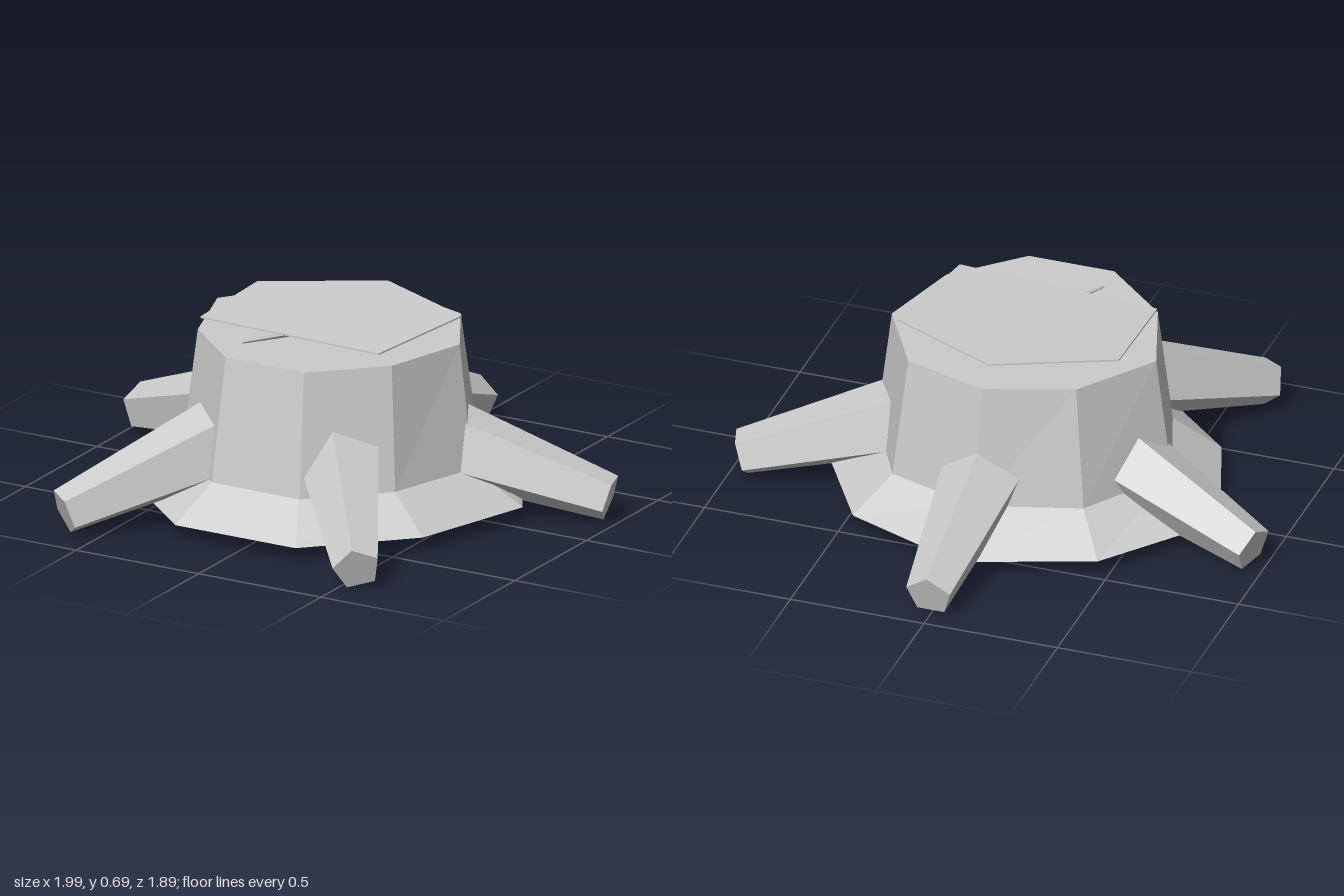
import * as THREE from 'three';

const bark = new THREE.MeshStandardMaterial({ color: 0xcccccc, flatShading: true });
bark.name = 'pale grey';

function addMesh(parent, name, geometry) {
  const mesh = new THREE.Mesh(geometry, bark);
  mesh.name = name;
  parent.add(mesh);
  return mesh;
}

// Nine-sided body lofted through [height, [x, z] outline] rings, capped at both ends
function loft(rings) {
  const n = rings[0][1].length;
  const pos = [], index = [];
  for (const [y, pts] of rings) for (const [x, z] of pts) pos.push(x, y, z);
  for (let r = 0; r < rings.length - 1; r++) {
    for (let i = 0; i < n; i++) {
      const a = r * n + i, b = r * n + (i + 1) % n;
      index.push(a, b, b + n, a, b + n, a + n);
    }
  }
  const top = (rings.length - 1) * n;
  for (let i = 1; i < n - 1; i++) {
    index.push(0, i + 1, i);
    index.push(top, top + i, top + i + 1);
  }
  const g = new THREE.BufferGeometry();
  g.setAttribute('position', new THREE.Float32BufferAttribute(pos, 3));
  g.setIndex(index);
  const flat = g.toNonIndexed();
  flat.computeVertexNormals();
  return flat;
}

// Tapered five-sided root running from inside the trunk out to its tip
function addRoot(parent, name, start, tip, roll) {
  const a = new THREE.Vector3(...start), b = new THREE.Vector3(...tip);
  const dir = b.clone().sub(a);
  const length = dir.length();
  dir.normalize();
  const up = new THREE.Vector3(0, 1, 0).addScaledVector(dir, -dir.y).normalize();
  const side = dir.clone().cross(up);
  const g = new THREE.CylinderGeometry(0.086, 0.168, length, 5);
  g.rotateY(THREE.MathUtils.degToRad(roll));
  g.applyMatrix4(new THREE.Matrix4().makeBasis(side, dir, up));
  addMesh(parent, name, g).position.copy(a).add(b).multiplyScalar(0.5);
}

// Thin sliver lying on the cut, pointed at its outer end
function addCrack(parent, name, [x0, z0], [x1, z1]) {
  const length = Math.hypot(x1 - x0, z1 - z0);
  const g = new THREE.CylinderGeometry(0.005, 0.014, length, 4);
  g.scale(1, 1, 0.6);
  g.rotateZ(-Math.PI / 2);
  const crack = addMesh(parent, name, g);
  crack.position.set((x0 + x1) / 2, 0.655, (z0 + z1) / 2);
  crack.rotation.y = -Math.atan2(z1 - z0, x1 - x0);
}

export function createModel() {
  const model = new THREE.Group();
  model.name = 'treeStump';

  // Trunk: flared foot, waist and cut top
  addMesh(model, 'trunk', loft([
    [0.065, [[0.24, 0.735], [0.57, 0.41], [0.71, -0.05], [0.455, -0.47], [0, -0.65],
      [-0.465, -0.48], [-0.78, -0.08], [-0.61, 0.415], [-0.25, 0.735]]],
    [0.19, [[0.17, 0.585], [0.42, 0.345], [0.53, -0.01], [0.35, -0.35], [-0.005, -0.46],
      [-0.365, -0.35], [-0.58, -0.025], [-0.45, 0.35], [-0.19, 0.585]]],
    [0.64, [[0.15, 0.52], [0.38, 0.3], [0.47, -0.02], [0.305, -0.31], [-0.005, -0.41],
      [-0.32, -0.3], [-0.52, -0.02], [-0.41, 0.305], [-0.17, 0.52]]],
  ]));

  // Roots spread evenly around the foot
  const roots = new THREE.Group();
  roots.name = 'roots';
  model.add(roots);
  addRoot(roots, 'backRoot', [0, 0.29, -0.25], [0.005, 0.082, -0.935], 0);
  addRoot(roots, 'leftRoot', [0.28, 0.29, -0.025], [0.96, 0.09, -0.23], 36);
  addRoot(roots, 'rightRoot', [-0.28, 0.29, -0.025], [-0.965, 0.09, -0.25], 10);
  addRoot(roots, 'frontLeftRoot', [0.16, 0.33, 0.3], [0.573, 0.087, 0.875], 14);
  addRoot(roots, 'frontRightRoot', [-0.17, 0.33, 0.32], [-0.625, 0.088, 0.87], 29);

  // Radial cracks on the cut top
  addCrack(model, 'frontCrack', [-0.035, 0.14], [-0.18, 0.385]);
  addCrack(model, 'rightCrack', [-0.06, 0.06], [-0.34, -0.05]);
  addCrack(model, 'leftCrack', [0.055, 0.06], [0.32, -0.05]);

  // Thin tilted five-sided slab over the cut
  const outline = [[-0.005, -0.335], [-0.42, -0.13], [-0.42, 0.27], [0.335, 0.315], [0.405, -0.145]];
  const shape = new THREE.Shape(outline.map(([x, z]) => new THREE.Vector2(x, -z)));
  const slab = new THREE.ExtrudeGeometry(shape, { depth: 0.006, bevelEnabled: false });
  slab.rotateX(-Math.PI / 2);
  const p = slab.attributes.position;
  for (let i = 0; i < p.count; i++) {
    p.setY(i, p.getY(i) + 0.683 + 0.012 * p.getX(i) - 0.033 * p.getZ(i));
  }
  slab.computeVertexNormals();
  addMesh(model, 'topSlab', slab);

  return model;
}
